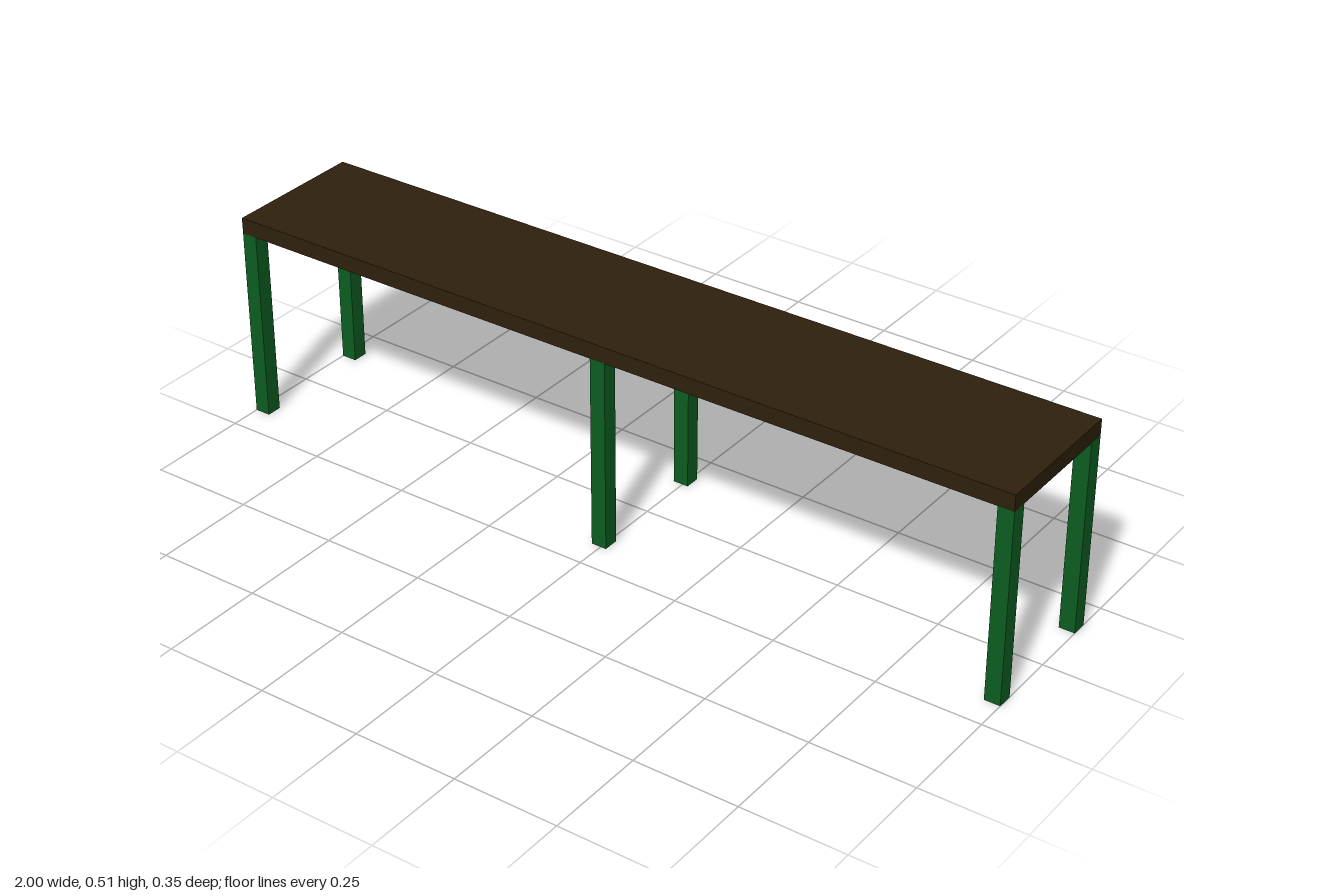
import * as THREE from 'three';

export function createModel() {
  const model = new THREE.Group();
  model.name = 'bench';

  const wood = new THREE.MeshStandardMaterial({ color: 0x2f200d });
  const green = new THREE.MeshStandardMaterial({ color: 0x0c5f20 });

  const length = 2, depth = 0.35, legHeight = 0.467, thickness = 0.039, legWidth = 0.038;

  // Seat plank
  const seat = new THREE.Mesh(new THREE.BoxGeometry(length, thickness, depth), wood);
  seat.name = 'seat';
  seat.position.y = legHeight + thickness / 2;
  model.add(seat);

  // Three pairs of square legs, flush with the plank's edges
  const legGeometry = new THREE.BoxGeometry(legWidth, legHeight, legWidth);
  const endX = (length - legWidth) / 2;
  const edgeZ = (depth - legWidth) / 2;
  const columns = [['right', -endX], ['middle', -0.005], ['left', endX]];
  const rows = [['Front', edgeZ], ['Back', -edgeZ]];
  for (const [column, x] of columns) {
    for (const [row, z] of rows) {
      const leg = new THREE.Mesh(legGeometry, green);
      leg.name = `${column}${row}Leg`;
      leg.position.set(x, legHeight / 2, z);
      model.add(leg);
    }
  }

  return model;
}
